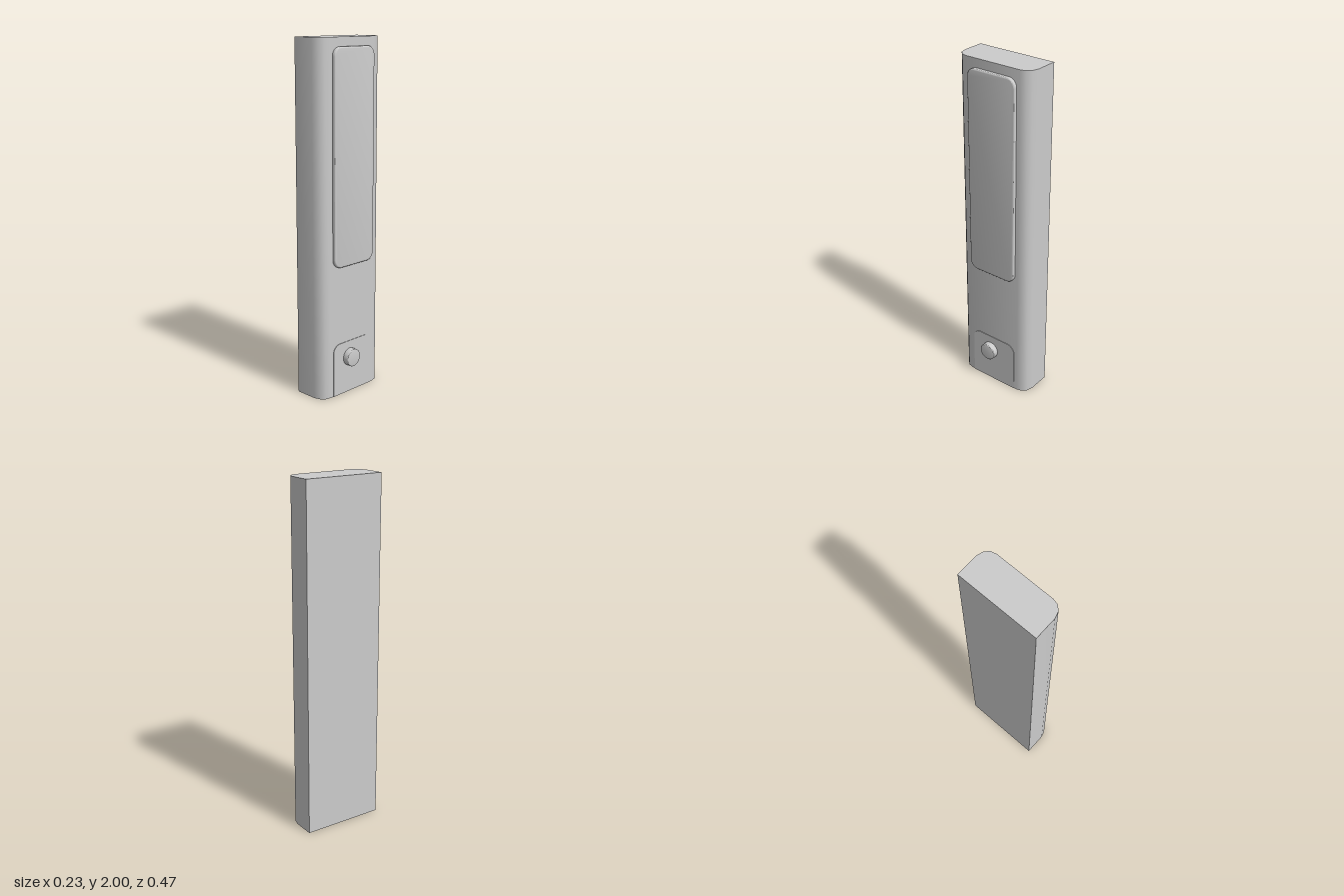
import * as THREE from 'three';
import { toCreasedNormals } from 'three/addons/utils/BufferGeometryUtils.js';

const FACE_X = 0.078; // outer face of the body, where the raised parts sit

const material = new THREE.MeshStandardMaterial({ color: 0xcccccc });

function addPart(group, name, geometry, crease = 0.7) {
  const mesh = new THREE.Mesh(toCreasedNormals(geometry, crease), material);
  mesh.name = name;
  group.add(mesh);
  return mesh;
}

// Rectangle with separate radii for the bottom and top corners
function roundedRect(halfW, y0, y1, rBottom, rTop) {
  const s = new THREE.Shape();
  s.moveTo(-halfW + rBottom, y0);
  s.lineTo(halfW - rBottom, y0);
  if (rBottom) s.absarc(halfW - rBottom, y0 + rBottom, rBottom, -Math.PI / 2, 0);
  s.lineTo(halfW, y1 - rTop);
  s.absarc(halfW - rTop, y1 - rTop, rTop, 0, Math.PI / 2);
  s.lineTo(-halfW + rTop, y1);
  s.absarc(-halfW + rTop, y1 - rTop, rTop, Math.PI / 2, Math.PI);
  s.lineTo(-halfW, y0 + rBottom);
  if (rBottom) s.absarc(-halfW + rBottom, y0 + rBottom, rBottom, Math.PI, Math.PI * 1.5);
  return s;
}

// Raise a shape out of the body face along +x, with a softened outer rim
function raise(shape, height, bevel, curveSegments) {
  const g = new THREE.ExtrudeGeometry(shape, {
    depth: height - bevel,
    bevelEnabled: bevel > 0,
    bevelThickness: bevel,
    bevelSize: bevel,
    bevelOffset: -bevel,
    bevelSegments: 3,
    curveSegments,
  });
  g.rotateY(Math.PI / 2);
  g.translate(FACE_X, 0, 0);
  return g;
}

export function createModel() {
  const group = new THREE.Group();
  group.name = 'wallUnit';

  // Tall body: flat back, rounded outer vertical edges
  const side = [[0.01, 0.237], [0.047, 0.226], [0.07, 0.203], [FACE_X, 0.17]];
  const outline = [
    [-0.118, -0.237],
    ...side.map(([x, z]) => [x, -z]),
    ...side.slice().reverse(),
    [-0.118, 0.237],
  ].map(([x, z]) => new THREE.Vector2(x, z));
  const body = new THREE.ExtrudeGeometry(new THREE.Shape(outline), { depth: 2, bevelEnabled: false });
  body.rotateX(-Math.PI / 2);
  addPart(group, 'body', body);

  // Long raised panel on the upper part
  addPart(group, 'upperPanel', raise(roundedRect(0.153, 0.755, 1.95, 0.05, 0.05), 0.019, 0.007, 6));

  // Thin plate at the foot, rounded only at its top corners
  addPart(group, 'lowerPlate', raise(roundedRect(0.15, 0, 0.305, 0, 0.05), 0.003, 0, 6));

  // Round push button
  const disc = new THREE.Shape();
  disc.absarc(-0.022, 0.21, 0.051, 0, Math.PI * 2);
  addPart(group, 'button', raise(disc, 0.038, 0.004, 16));

  return group;
}
